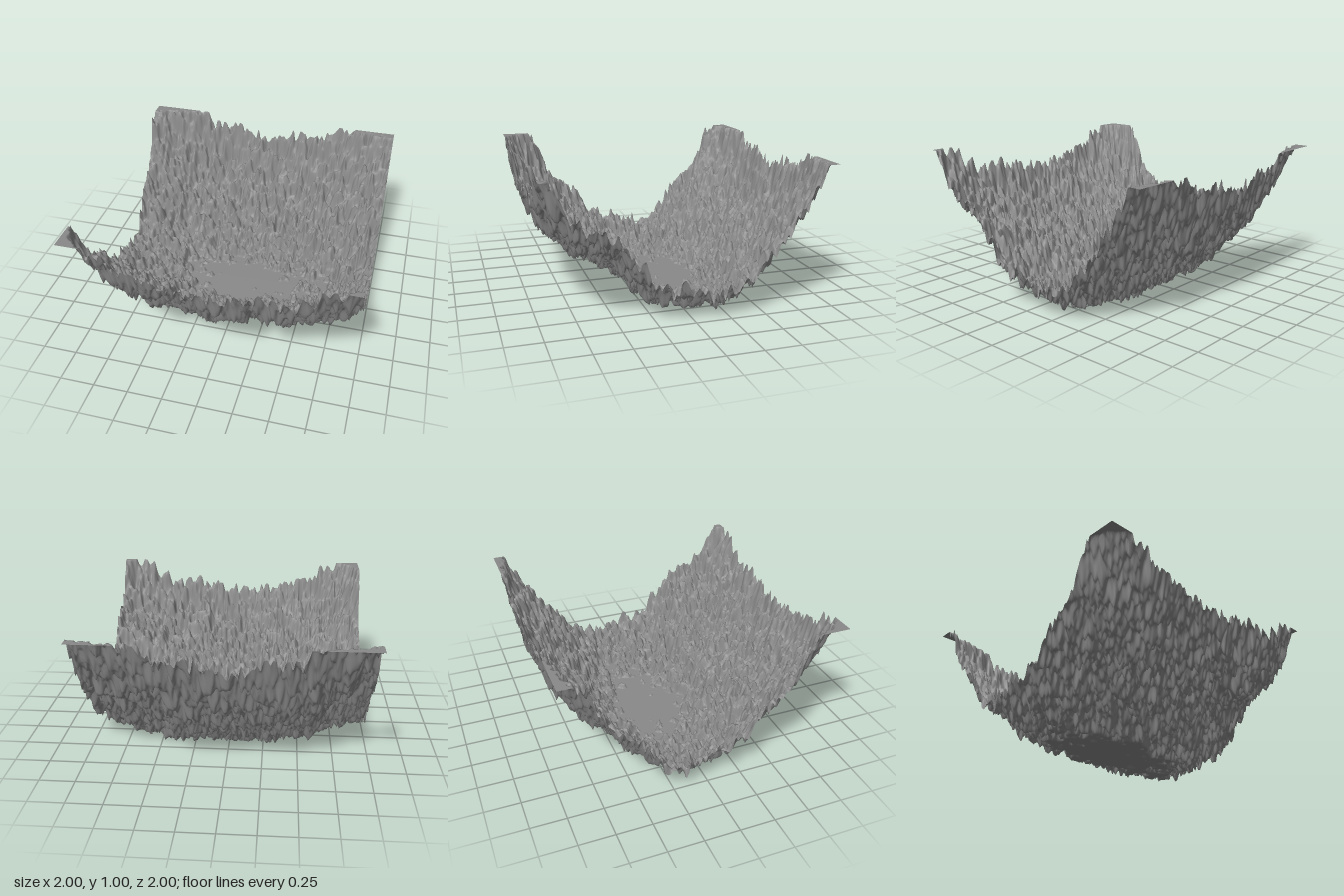
import * as THREE from 'three';

// Height of the valley's centre line, in steps of 0.1 from z = -1 to z = 1
const PROFILE = [
  0.86, 0.61, 0.46, 0.33, 0.23, 0.13, 0.04, -0.02, -0.06, -0.06, -0.05,
  -0.04, 0.02, 0.09, 0.18, 0.25, 0.31, 0.36, 0.44, 0.54, 0.74,
];

const lerp = THREE.MathUtils.lerp;
const clamp = THREE.MathUtils.clamp;

// Repeatable value between -1 and 1 for a lattice point
function hash(i, j, seed) {
  let h = Math.imul(i, 374761393) ^ Math.imul(j, 668265263) ^ Math.imul(seed, 974634777);
  h = Math.imul(h ^ (h >>> 13), 1274126177);
  h = Math.imul(h ^ (h >>> 15), 2246822519);
  return ((h ^ (h >>> 16)) >>> 0) / 2147483648 - 1;
}

// Smooth lattice noise
function noise(x, z, cell, seed) {
  const u = x / cell + 100, v = z / cell + 100;
  const i = Math.floor(u), j = Math.floor(v);
  const s = THREE.MathUtils.smoothstep(u - i, 0, 1);
  const t = THREE.MathUtils.smoothstep(v - j, 0, 1);
  return lerp(
    lerp(hash(i, j, seed), hash(i + 1, j, seed), s),
    lerp(hash(i, j + 1, seed), hash(i + 1, j + 1, seed), s),
    t,
  );
}

// How far the ground climbs towards the two ends
function endRise(x, z) {
  // Sills that close the two mouths of the valley floor
  const sill = x ** 4 * 0.1 * Math.exp(-(((z - 0.05) / 0.15) ** 2)) + 0.04 * x ** 8;
  // One front corner stays low and then turns up sharply at the rim
  if (x < 0 && z > 0) return sill + x * x * (0.13 + 0.15 * z * z) + 0.45 * z * z * x ** 8;
  return sill + x * x * (0.14 + (x > 0 ? 0.2 : 0.26) * Math.abs(z));
}

function height(x, z) {
  // Valley cross-section running along x
  const k = clamp((z + 1) * 10, 0, 20);
  const i = Math.min(Math.floor(k), 19);
  const valley = lerp(PROFILE[i], PROFILE[i + 1], k - i);

  // Rough ground in four octaves
  const rough = 0.03 * noise(x, z, 0.25, 1) + 0.035 * noise(x, z, 0.1, 2)
    + 0.05 * noise(x, z, 0.04, 3) + 0.045 * noise(x, z, 0.02, 4);

  // Flat floor and flat-topped corners
  return clamp(valley + endRise(x, z) + rough, 0, 1);
}

export function createModel() {
  const group = new THREE.Group();
  group.name = 'valleyTerrain';

  const geometry = new THREE.PlaneGeometry(2, 2, 270, 270);
  geometry.rotateX(-Math.PI / 2);
  const position = geometry.attributes.position;
  for (let i = 0; i < position.count; i++) {
    position.setY(i, height(position.getX(i), position.getZ(i)));
  }
  geometry.computeVertexNormals();

  const ground = new THREE.Mesh(
    geometry,
    new THREE.MeshStandardMaterial({ color: 0x8a8a8a, side: THREE.DoubleSide }),
  );
  ground.name = 'ground';
  group.add(ground);
  return group;
}
